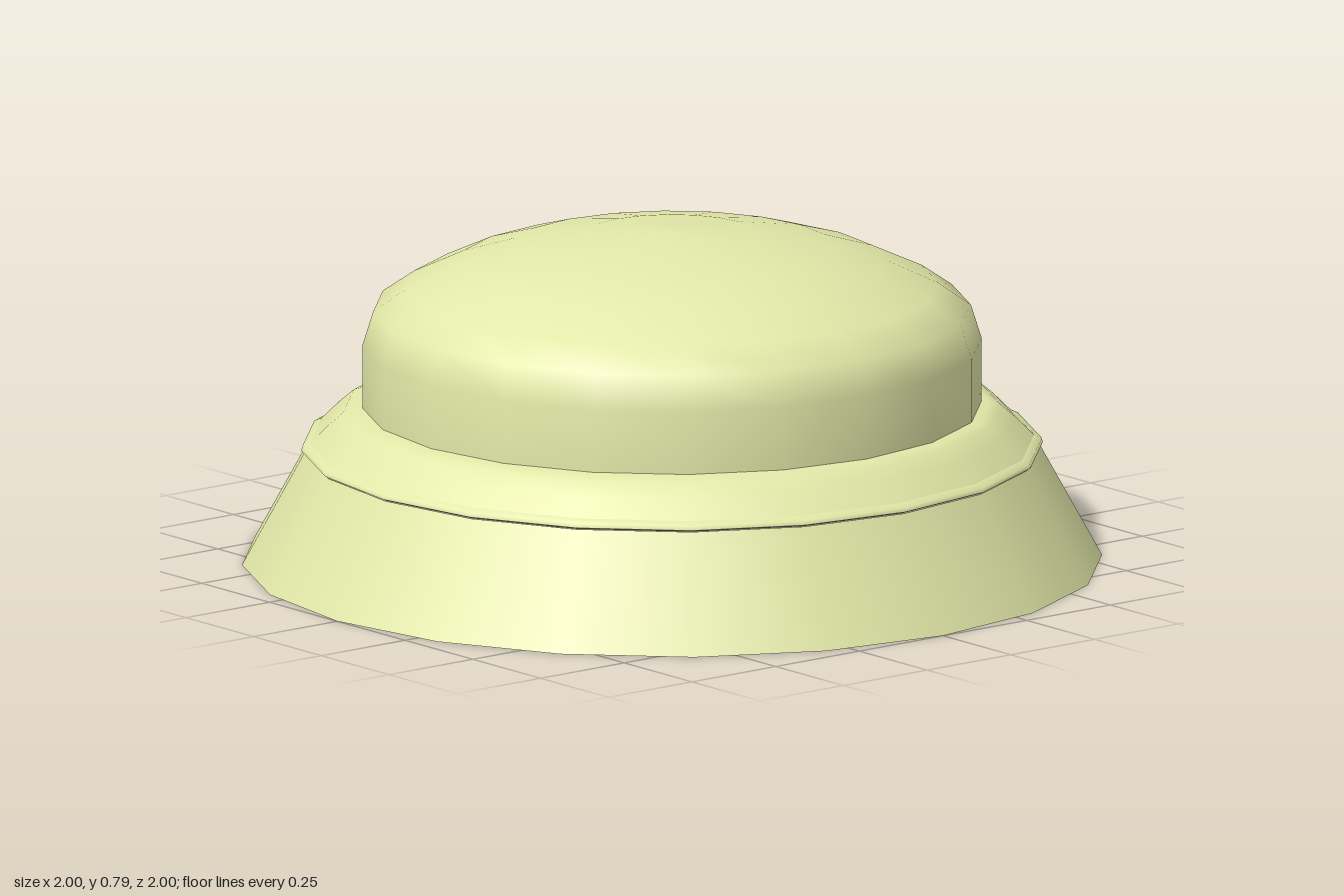
import * as THREE from 'three';

const SIDES = 20;

export function createModel() {
  const group = new THREE.Group();
  const solid = new THREE.MeshStandardMaterial({ color: 0xe2e8a8 });
  const open = solid.clone();
  open.side = THREE.DoubleSide;

  // Turns a profile of [radius, height] pairs, bottom to top
  const turn = (name, profile, material) => {
    const points = profile.map(([r, y]) => new THREE.Vector2(r, y));
    const mesh = new THREE.Mesh(new THREE.LatheGeometry(points, SIDES), material);
    mesh.name = name;
    group.add(mesh);
  };

  // Flared base, open underneath
  turn('skirt', [[1, 0], [0.855, 0.265]], open);

  // Thin lip and sloping shoulder above the skirt
  turn('lipUnderside', [[0.85, 0.265], [0.862, 0.27]], open);
  turn('lip', [[0.862, 0.27], [0.86, 0.28], [0.842, 0.288]], open);
  turn('shoulder', [[0.842, 0.288], [0.8, 0.33], [0.765, 0.36], [0.74, 0.368], [0.71, 0.372]], open);

  // Domed cap with a flat underside
  turn('capUnderside', [[0, 0.37], [0.72, 0.37]], solid);
  turn('cap', [
    [0.72, 0.37], [0.72, 0.52], [0.695, 0.6], [0.62, 0.652],
    [0.5, 0.708], [0.38, 0.744], [0.2, 0.777], [0, 0.788],
  ], solid);

  return group;
}
